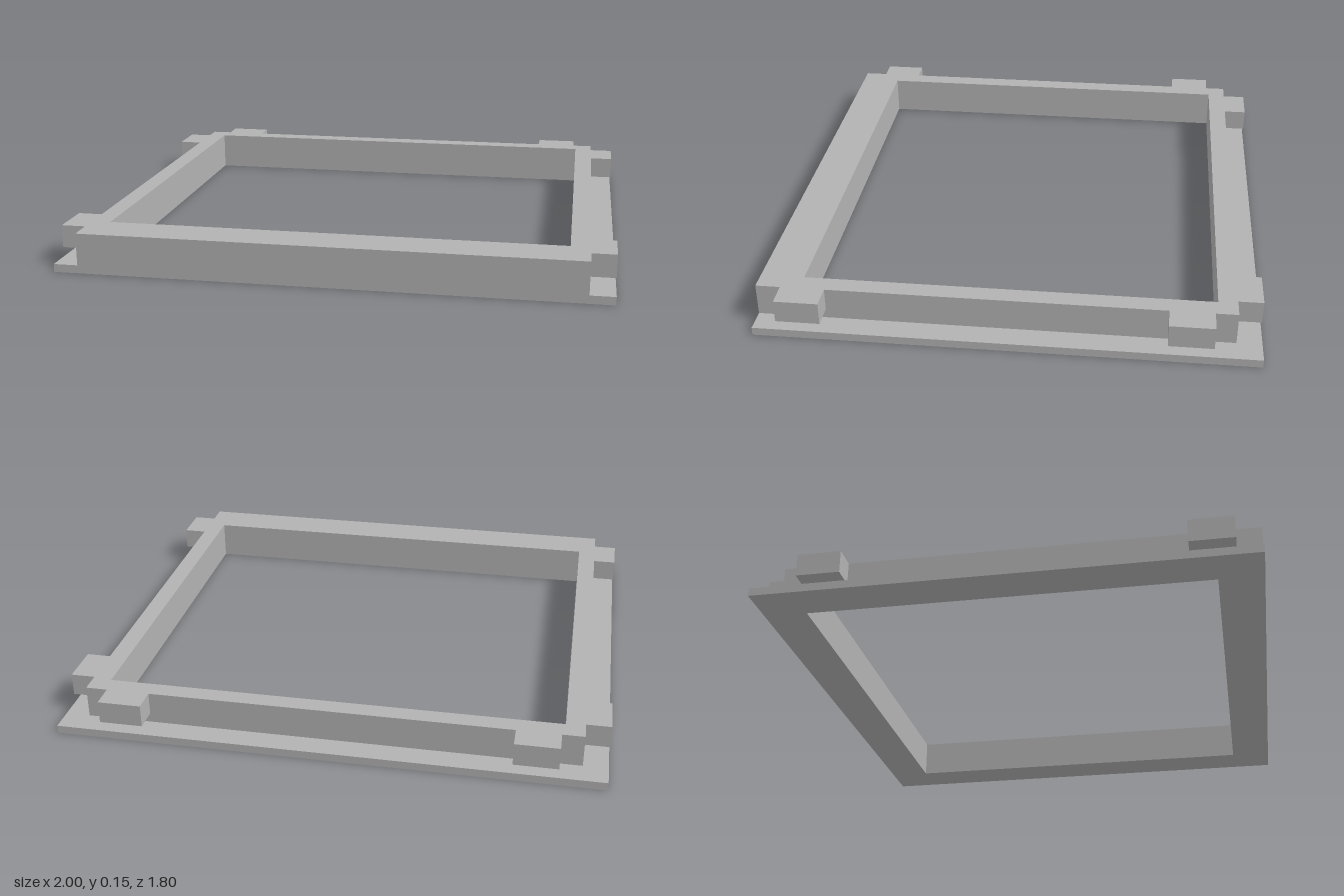
import * as THREE from 'three';

const INNER = { x: 0.84, z: 0.74 }; // half-size of the opening
const TOP = 0.15;

// Rectangular ring between heights y0 and y1, outer edge x = ±w, z = back..front
function ring(w, back, front, y0, y1) {
  const outline = (x, za, zb) => [[-x, -zb], [x, -zb], [x, -za], [-x, -za]].map(p => new THREE.Vector2(...p));
  const shape = new THREE.Shape(outline(w, back, front));
  shape.holes.push(new THREE.Path(outline(INNER.x, -INNER.z, INNER.z).reverse()));
  return new THREE.ExtrudeGeometry(shape, { depth: y1 - y0, bevelEnabled: false })
    .rotateX(-Math.PI / 2)
    .translate(0, y0, 0);
}

export function createModel() {
  const group = new THREE.Group();
  const grey = new THREE.MeshStandardMaterial({ color: 0xb2b2b2 });
  grey.name = 'grey';

  const add = (name, geometry) => {
    const mesh = new THREE.Mesh(geometry, grey);
    mesh.name = name;
    group.add(mesh);
    return mesh;
  };

  // Thin base flange and the raised frame, flush with it at the front
  add('baseFlange', ring(1, -0.9, 0.9, 0, 0.03));
  add('raisedFrame', ring(0.91, -0.81, 0.9, 0.03, TOP));

  // Overhanging tabs level with the frame top
  const tabBottom = 0.066, tabHeight = TOP - tabBottom;
  const tabY = tabBottom + tabHeight / 2;
  for (const [side, s] of [['left', 1], ['right', -1]]) {
    add(side + 'FrontTab', new THREE.BoxGeometry(0.09, tabHeight, 0.16)).position.set(s * 0.955, tabY, 0.73);
    add(side + 'RearTab', new THREE.BoxGeometry(0.09, tabHeight, 0.16)).position.set(s * 0.955, tabY, -0.65);
    add(side + 'BackTab', new THREE.BoxGeometry(0.16, tabHeight, 0.09)).position.set(s * 0.75, tabY, -0.855);
  }
  return group;
}
